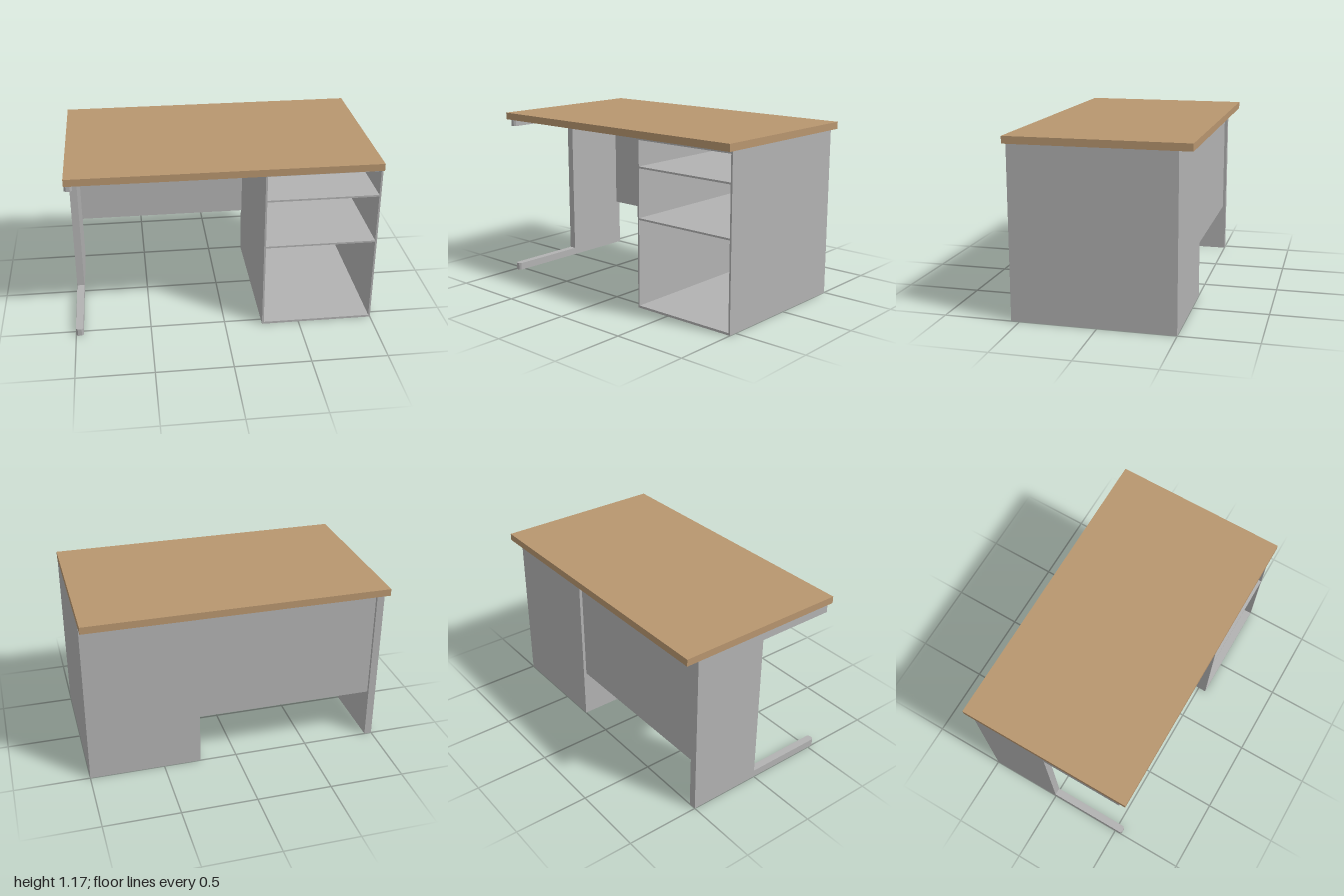
import * as THREE from 'three';

const wood = new THREE.MeshStandardMaterial({ color: 0xb8966f });
wood.name = 'wood';
const grey = new THREE.MeshStandardMaterial({ color: 0xb2b2b2 });
grey.name = 'greyMetal';

// Box given by its lower and upper limits on each axis
function slab(parent, name, material, [x0, x1], [y0, y1], [z0, z1]) {
  const mesh = new THREE.Mesh(new THREE.BoxGeometry(x1 - x0, y1 - y0, z1 - z0), material);
  mesh.position.set((x0 + x1) / 2, (y0 + y1) / 2, (z0 + z1) / 2);
  mesh.name = name;
  parent.add(mesh);
  return mesh;
}

// Horizontal leg bar with small cut corners at its front end
function legBar(parent, name, y, height) {
  const c = 0.012, front = 0.55, back = -0.5;
  const plan = new THREE.Shape([
    [-1, -back], [-0.95, -back], [-0.95, -front + c],
    [-0.95 - c, -front], [-1 + c, -front], [-1, -front + c],
  ].reverse().map(([x, v]) => new THREE.Vector2(x, v)));
  const geometry = new THREE.ExtrudeGeometry(plan, { depth: height, bevelEnabled: false });
  geometry.rotateX(-Math.PI / 2);
  const mesh = new THREE.Mesh(geometry, grey);
  mesh.position.y = y;
  mesh.name = name;
  parent.add(mesh);
}

export function createModel() {
  const desk = new THREE.Group();
  desk.name = 'desk';

  slab(desk, 'deskTop', wood, [-1, 1], [1.12, 1.167], [-0.583, 0.583]);

  // Open drawer pedestal
  const pedestal = new THREE.Group();
  pedestal.name = 'pedestal';
  desk.add(pedestal);
  const t = 0.012, zBack = -0.5, zFront = 0.555;
  const inner = [0.25 + t, 1 - t];
  slab(pedestal, 'pedestalInnerSide', grey, [0.25, 0.25 + t], [0, 1.12], [zBack, zFront]);
  slab(pedestal, 'pedestalOuterSide', grey, [1 - t, 1], [0, 1.12], [zBack, zFront]);
  slab(pedestal, 'pedestalBack', grey, inner, [0, 1.12], [zBack, zBack + t]);
  slab(pedestal, 'pedestalFrontRail', grey, inner, [0, 0.015], [zFront - t, zFront]);
  slab(pedestal, 'pedestalFloor', grey, inner, [0.008, 0.015], [zBack + t, zFront - t]);
  for (const [y0, y1] of [[0.59, 0.602], [0.925, 0.937], [1.105, 1.12]]) {
    slab(pedestal, 'pedestalShelf', grey, inner, [y0, y1], [zBack + t, zFront]);
  }

  // Modesty panel between the pedestal and the leg
  slab(desk, 'modestyPanel', grey, [-0.95, 0.25], [0.34, 1.12], [-0.48, -0.465]);

  // Cantilever leg
  const leg = new THREE.Group();
  leg.name = 'cantileverLeg';
  desk.add(leg);
  legBar(leg, 'legFoot', 0, 0.05);
  slab(leg, 'legUpright', grey, [-1, -0.95], [0.05, 1.07], [-0.5, 0]);
  legBar(leg, 'legTopRail', 1.07, 0.05);

  return desk;
}
